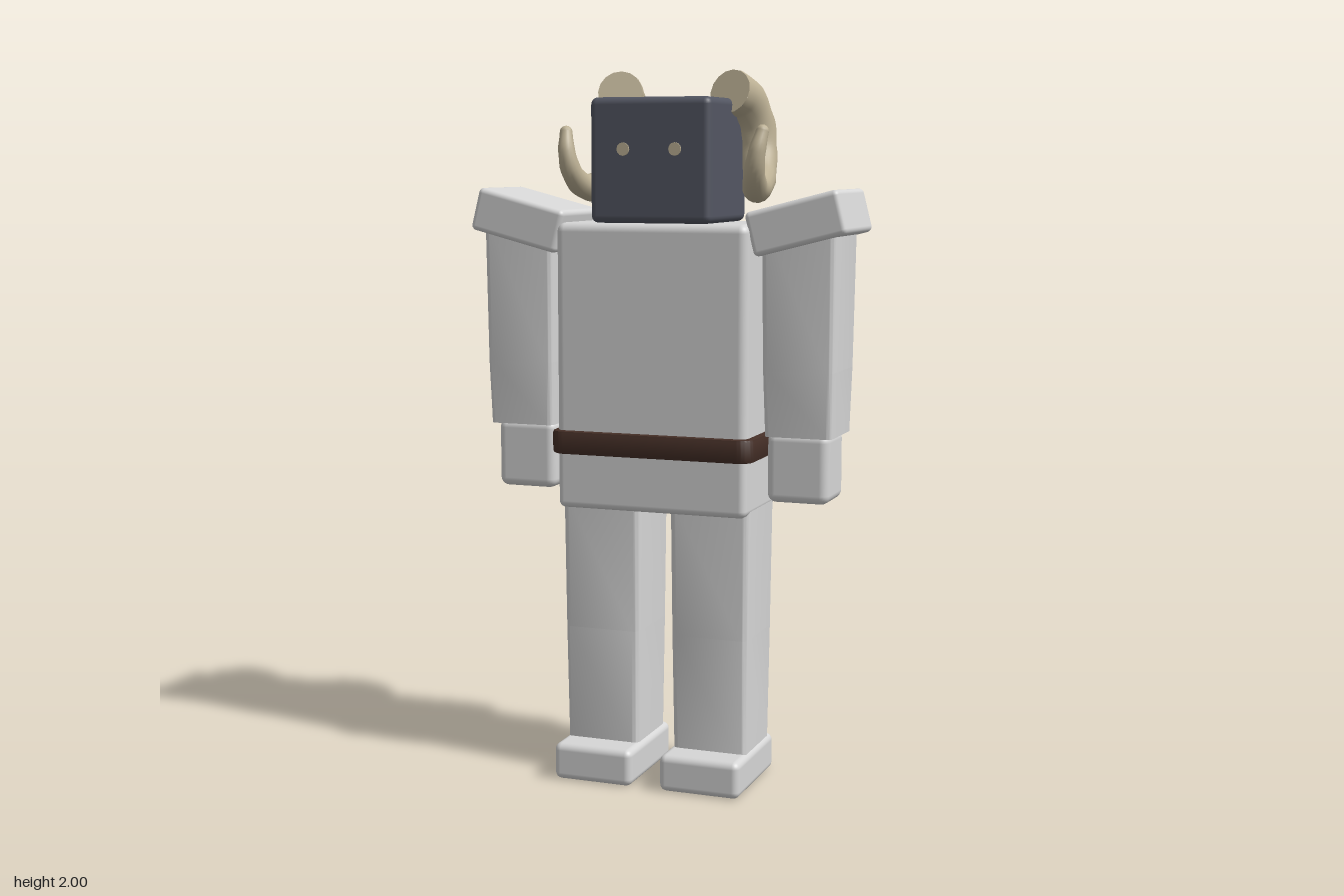
import * as THREE from 'three';
import { toCreasedNormals } from 'three/addons/utils/BufferGeometryUtils.js';
import { RoundedBoxGeometry } from 'three/addons/geometries/RoundedBoxGeometry.js';

const material = (name, color) => {
  const m = new THREE.MeshStandardMaterial({ color });
  m.name = name;
  return m;
};

export function createModel() {
  const stone = material('paleStone', 0xd6d6d6);
  const slate = material('darkSlate', 0x535662);
  const leather = material('brownLeather', 0x452f27);
  const bone = material('hornBone', 0xbdb195);
  const model = new THREE.Group();
  model.name = 'hornedGolem';

  const add = (name, geometry, mat, x = 0, y = 0, z = 0, parent = model) => {
    const mesh = new THREE.Mesh(geometry, mat);
    mesh.name = name;
    mesh.position.set(x, y, z);
    parent.add(mesh);
    return mesh;
  };

  // Softened block given by its extents
  const block = (name, mat, [x0, x1], [y0, y1], [z0, z1], r = 0.02) =>
    add(name, new RoundedBoxGeometry(x1 - x0, y1 - y0, z1 - z0, 3, r), mat,
      (x0 + x1) / 2, (y0 + y1) / 2, (z0 + z1) / 2);

  const roundedRect = (w, d, r) => {
    const s = new THREE.Shape(), a = w / 2, b = d / 2;
    s.moveTo(-a + r, -b).lineTo(a - r, -b).absarc(a - r, -b + r, r, -Math.PI / 2, 0);
    s.lineTo(a, b - r).absarc(a - r, b - r, r, 0, Math.PI / 2);
    s.lineTo(-a + r, b).absarc(-a + r, b - r, r, Math.PI / 2, Math.PI);
    s.lineTo(-a, -b + r).absarc(-a + r, -b + r, r, Math.PI, Math.PI * 1.5);
    return s;
  };

  // Upright tapered limb piece; each end is { x, y, z, w, d }
  const limb = (name, bottom, top) => {
    const g = new THREE.ExtrudeGeometry(roundedRect(1, 1, 0.08),
      { depth: 1, bevelEnabled: false, curveSegments: 4 });
    g.rotateX(-Math.PI / 2);
    const p = g.attributes.position, mix = THREE.MathUtils.lerp;
    for (let i = 0; i < p.count; i++) {
      const t = p.getY(i);
      p.setXYZ(i,
        mix(bottom.x, top.x, t) + p.getX(i) * mix(bottom.w, top.w, t),
        mix(bottom.y, top.y, t),
        mix(bottom.z, top.z, t) + p.getZ(i) * mix(bottom.d, top.d, t));
    }
    return add(name, toCreasedNormals(g, 0.7), stone);
  };

  // Body and head
  block('torso', stone, [-0.28, 0.28], [0.96, 1.58], [-0.14, 0.165], 0.025);
  block('hips', stone, [-0.278, 0.278], [0.78, 1.0], [-0.137, 0.165]);
  block('head', slate, [-0.175, 0.175], [1.58, 1.92], [-0.145, 0.165]);

  // Belt band with rounded corners
  const belt = new THREE.ExtrudeGeometry(roundedRect(0.58, 0.32, 0.035),
    { depth: 0.05, bevelThickness: 0.008, bevelSize: 0.008, bevelSegments: 2, curveSegments: 6 });
  belt.rotateX(-Math.PI / 2);
  add('belt', toCreasedNormals(belt, 0.7), leather, 0, 0.943, 0.0125);

  // Horn: a curled tube thinning to its tip, with a flat root
  const horn = (side, s) => {
    const group = new THREE.Group();
    group.name = side + 'Horn';
    model.add(group);
    const rows = [
      [0.163, 1.938, -0.033, 0.063], [0.178, 1.918, -0.095, 0.064],
      [0.194, 1.855, -0.147, 0.061], [0.207, 1.775, -0.153, 0.054],
      [0.225, 1.708, -0.112, 0.047], [0.242, 1.675, -0.04, 0.041],
      [0.257, 1.683, 0.03, 0.034], [0.269, 1.722, 0.072, 0.029],
      [0.279, 1.775, 0.08, 0.024], [0.288, 1.828, 0.062, 0.018],
    ];
    const curve = new THREE.CatmullRomCurve3(rows.map(([x, y, z]) => new THREE.Vector3(s * x, y, z)));
    const steps = 54, sides = 16;
    const g = new THREE.TubeGeometry(curve, steps, 1, sides);
    const p = g.attributes.position, n = g.attributes.normal;
    const normal = new THREE.Vector3();
    for (let i = 0; i <= steps; i++) {
      const centre = curve.getPointAt(i / steps);
      const f = curve.getUtoTmapping(i / steps) * (rows.length - 1);
      const k = Math.min(Math.floor(f), rows.length - 2);
      const ridge = 1 + 0.025 * Math.sin(f * Math.PI * 2);
      const radius = THREE.MathUtils.lerp(rows[k][3], rows[k + 1][3], f - k) * ridge;
      for (let j = 0; j <= sides; j++) {
        const v = i * (sides + 1) + j;
        normal.fromBufferAttribute(n, v).multiplyScalar(radius).add(centre);
        p.setXYZ(v, normal.x, normal.y, normal.z);
      }
    }
    add('hornCurl', g, bone, 0, 0, 0, group);
    const root = curve.getPointAt(0), tip = curve.getPointAt(1);
    const cap = add('hornRoot', new THREE.CircleGeometry(0.063, sides), bone, root.x, root.y, root.z, group);
    cap.quaternion.setFromUnitVectors(new THREE.Vector3(0, 0, 1), curve.getTangentAt(0).negate());
    add('hornTip', new THREE.SphereGeometry(0.018, 12, 8), bone, tip.x, tip.y, tip.z, group);
  };

  // Mirrored parts
  for (const [side, s] of [['left', 1], ['right', -1]]) {
    const span = (a, b) => (s > 0 ? [a, b] : [-b, -a]);

    const eye = add(side + 'Eye', new THREE.CylinderGeometry(0.018, 0.018, 0.008, 12), bone,
      s * 0.075, 1.78, 0.166);
    eye.rotation.x = Math.PI / 2;

    const pad = add(side + 'ShoulderPad', new RoundedBoxGeometry(0.268, 0.122, 0.275, 3, 0.015), stone,
      s * 0.406, 1.584, 0.008);
    pad.rotation.z = s * 0.25;

    const elbow = { x: s * 0.41, y: 1.185, z: 0.018, w: 0.2, d: 0.215 };
    limb(side + 'UpperArm', elbow, { x: s * 0.41, y: 1.57, z: 0.015, w: 0.21, d: 0.227 });
    limb(side + 'Forearm', { x: s * 0.41, y: 1.005, z: 0.018, w: 0.19, d: 0.2 }, elbow);
    block(side + 'Hand', stone, span(0.316, 0.492), [0.82, 1.015], [-0.06, 0.1], 0.025);

    const knee = { x: s * 0.161, y: 0.43, z: 0.014, w: 0.224, d: 0.23 };
    limb(side + 'Thigh', knee, { x: s * 0.161, y: 0.8, z: 0.013, w: 0.232, d: 0.236 });
    limb(side + 'Shin', { x: s * 0.161, y: 0.09, z: 0.014, w: 0.214, d: 0.222 }, knee);
    block(side + 'Foot', stone, span(0.042, 0.277), [0, 0.105], [-0.115, 0.21]);

    horn(side, s);
  }
  return model;
}
